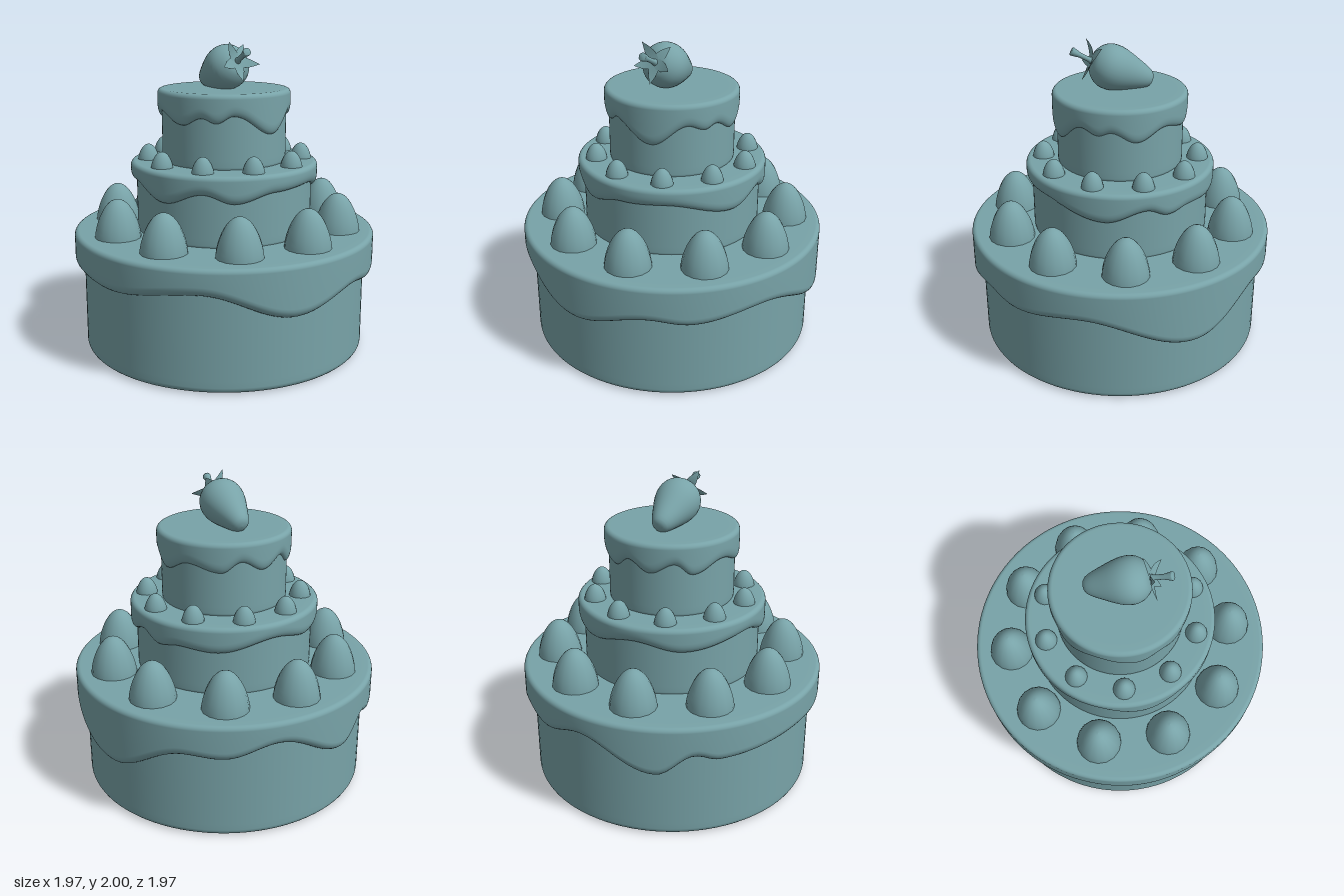
import * as THREE from 'three';
import { mergeVertices } from 'three/addons/utils/BufferGeometryUtils.js';

const material = new THREE.MeshStandardMaterial({ color: 0x78a3a8 });
const leafMaterial = new THREE.MeshStandardMaterial({ color: 0x78a3a8, side: THREE.DoubleSide });

function addMesh(parent, name, geometry, mat = material) {
  const mesh = new THREE.Mesh(geometry, mat);
  mesh.name = name;
  parent.add(mesh);
  return mesh;
}

const vec = (x, y) => new THREE.Vector2(x, y);

// Points along a quarter ellipse in a profile, between two angles in quarter turns
function arc(cx, cy, rx, ry, from, to, steps = 5) {
  return Array.from({ length: steps + 1 }, (_, i) => {
    const a = (from + (to - from) * i / steps) * Math.PI / 2;
    return vec(cx + rx * Math.cos(a), cy + ry * Math.sin(a));
  });
}

// Eased height between the crests and troughs of a drip line, [degrees, height]
function dripHeight(turns, deg) {
  const n = turns.length;
  const next = turns.findIndex(([a]) => a > deg);
  const i = next < 0 ? n : next;
  const [a0, h0] = i > 0 ? turns[i - 1] : [turns[n - 1][0] - 360, turns[n - 1][1]];
  const [a1, h1] = i < n ? turns[i] : [turns[0][0] + 360, turns[0][1]];
  return THREE.MathUtils.lerp(h0, h1, (1 - Math.cos(Math.PI * (deg - a0) / (a1 - a0))) / 2);
}

// Icing: a lathed shell whose rounded lip follows the drip line
function icingGeometry(wall, outer, top, turns) {
  const lip = arc(wall, 0.065, outer - wall, 0.065, -1, 0, 6);
  lip.unshift(vec(wall - 0.02, 0.01));
  const crown = [...arc(outer - 0.03, -0.03, 0.03, 0.03, 0, 1), vec(outer - 0.07, 0), vec(0, 0)];
  let geometry = new THREE.LatheGeometry([...lip, ...crown], 160);
  const p = geometry.attributes.position;
  const rows = lip.length + crown.length;
  for (let i = 0; i < p.count; i++) {
    const deg = (THREE.MathUtils.radToDeg(Math.atan2(p.getX(i), p.getZ(i))) + 360) % 360;
    p.setY(i, p.getY(i) + (i % rows < lip.length ? dripHeight(turns, deg) : top));
  }
  geometry.deleteAttribute('normal');
  geometry.deleteAttribute('uv');
  geometry = mergeVertices(geometry, 1e-5);
  geometry.computeVertexNormals();
  return geometry;
}

// Sponge tier with a rounded bottom edge and its dripping icing
function addTier(cake, name, wall, outer, base, top, turns) {
  const profile = [vec(0, base), ...arc(wall - 0.04, base + 0.04, 0.04, 0.04, -1, 0),
    vec(wall, base + 0.08), vec(wall, top - 0.03)];
  addMesh(cake, name + 'Tier', new THREE.LatheGeometry(profile, 96));
  addMesh(cake, name + 'Icing', icingGeometry(wall, outer, top, turns));
}

// Ring of ten bullet-shaped cream drops standing on a tier
function creamRing(name, ring, y, radius, height, startDeg) {
  const group = new THREE.Group();
  group.name = name;
  const profile = [vec(radius, -0.03)];
  for (let i = 0; i <= 10; i++) {
    const h = Math.sin(i / 10 * Math.PI / 2);
    profile.push(vec(radius * Math.sqrt(Math.max(0, 1 - h ** 1.5)), height * h));
  }
  const geometry = new THREE.LatheGeometry(profile, 16);
  for (let i = 0; i < 10; i++) {
    const a = THREE.MathUtils.degToRad(startDeg + i * 36);
    const drop = addMesh(group, 'creamDrop', geometry);
    drop.position.set(ring * Math.sin(a) + 0.007, y, ring * Math.cos(a));
  }
  return group;
}

// Pointed, curled leaf running outward along +z
function leafGeometry(curl) {
  const geometry = new THREE.PlaneGeometry(1, 1, 2, 6);
  const p = geometry.attributes.position;
  for (let i = 0; i < p.count; i++) {
    const s = p.getX(i) * 2, t = p.getY(i) + 0.5;
    const width = 0.034 * Math.sin(Math.PI * (0.3 + 0.7 * t));
    p.setXYZ(i, s * width, 0.418 + curl * t * t, 0.135 * t);
  }
  geometry.computeVertexNormals();
  return geometry;
}

// Strawberry: local +y runs from the tip to the stem
function createStrawberry() {
  const berry = new THREE.Group();
  berry.name = 'strawberry';
  const outline = new THREE.SplineCurve([vec(0, 0), vec(0.052, 0.02), vec(0.1, 0.125),
    vec(0.141, 0.25), vec(0.133, 0.34), vec(0.075, 0.403), vec(0, 0.413)]);
  addMesh(berry, 'berryBody', new THREE.LatheGeometry(outline.getPoints(24), 32));
  [0.015, 0.045, -0.02, 0.06, 0.025].forEach((curl, i) => {
    addMesh(berry, 'leaf', leafGeometry(curl), leafMaterial).rotation.y = i * Math.PI * 2 / 5;
  });
  const stemProfile = [vec(0.026, 0), vec(0.016, 0.03), vec(0.016, 0.09), vec(0.027, 0.142),
    vec(0.025, 0.15), vec(0, 0.152)];
  const stem = addMesh(berry, 'stem', new THREE.LatheGeometry(stemProfile, 12));
  stem.position.y = 0.405;
  stem.rotation.set(-0.12, 0, 0.09);
  berry.position.set(-0.015, 1.735, -0.212);
  berry.rotation.x = THREE.MathUtils.degToRad(69.5);
  return berry;
}

export function createModel() {
  const cake = new THREE.Group();
  cake.name = 'tieredCake';

  addTier(cake, 'bottom', 0.928, 0.987, 0, 0.787, [
    [22, 0.55], [37, 0.52], [65, 0.57], [107, 0.375], [138, 0.57], [152, 0.55], [172, 0.63],
    [201, 0.45], [215, 0.575], [224, 0.535], [260, 0.565], [281, 0.55], [318, 0.615], [353, 0.455]]);
  addTier(cake, 'middle', 0.573, 0.61, 0.76, 1.235, [
    [27, 1.125], [70, 1.04], [95, 1.11], [109, 1.06], [124, 1.085], [148, 1.065], [184, 1.13],
    [214, 1.075], [258, 1.125], [288, 1.04], [314, 1.115], [333, 1.06], [359, 1.115]]);
  addTier(cake, 'top', 0.403, 0.43, 1.21, 1.7, [
    [13, 1.44], [44, 1.56], [60, 1.525], [71, 1.55], [93, 1.485], [120, 1.555], [150, 1.51],
    [167, 1.575], [188, 1.51], [209, 1.57], [225, 1.5], [254, 1.565], [288, 1.5], [307, 1.55],
    [320, 1.52], [335, 1.565]]);

  cake.add(creamRing('largeCreamDrops', 0.745, 0.785, 0.147, 0.246, 9.3));
  cake.add(creamRing('smallCreamDrops', 0.5, 1.233, 0.07, 0.1, -13));
  cake.add(createStrawberry());
  return cake;
}
